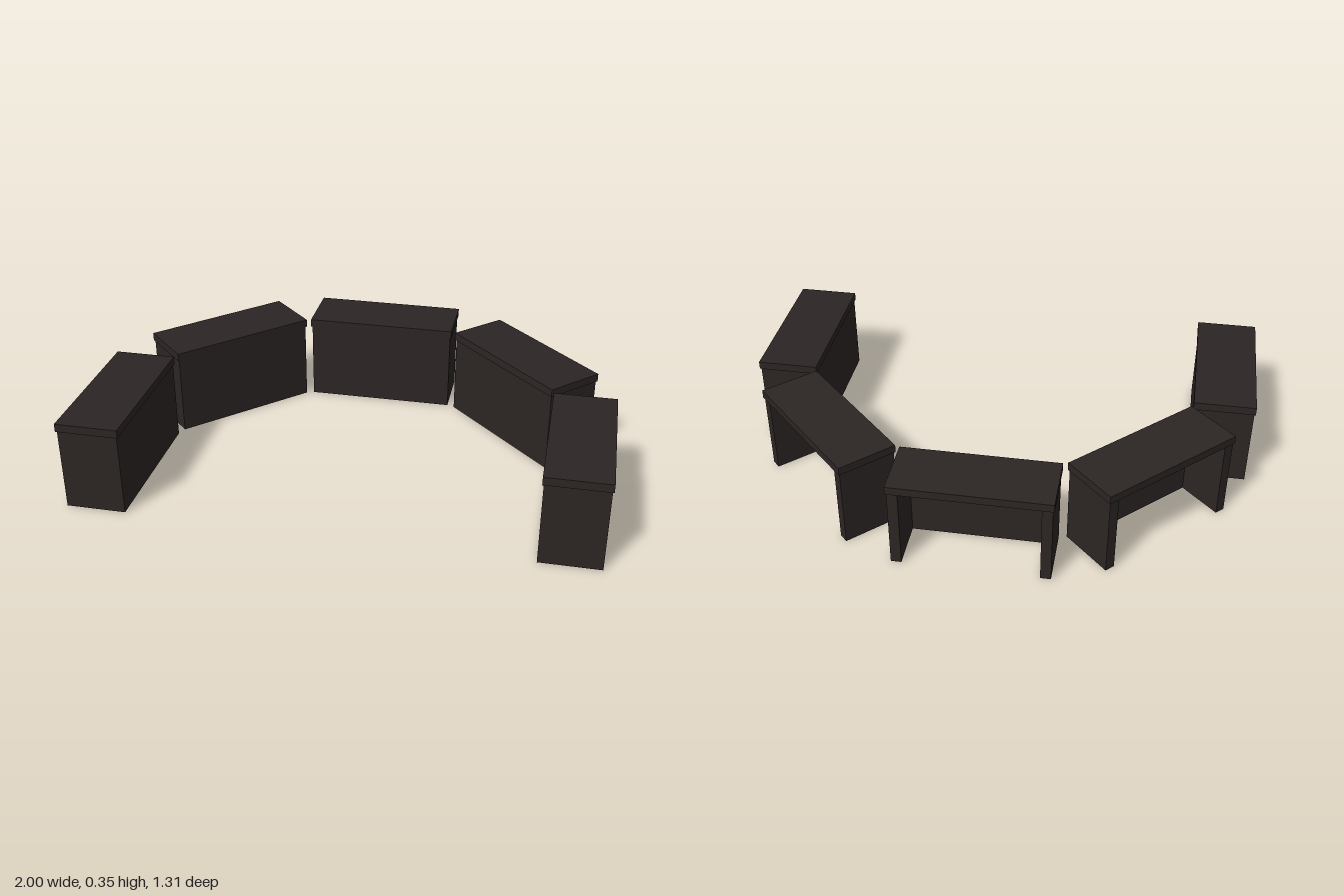
import * as THREE from 'three';

const LENGTH = 0.608, DEPTH = 0.24, HEIGHT = 0.355;
const TOP = 0.032, BOARD = 0.04, INSET = 0.005;

export function createModel() {
  const darkWood = new THREE.MeshStandardMaterial({ color: 0x2c2524 });

  const board = (parent, name, size, position) => {
    const mesh = new THREE.Mesh(new THREE.BoxGeometry(...size), darkWood);
    mesh.name = name;
    mesh.position.set(...position);
    parent.add(mesh);
  };

  // One desk: its closed panel faces local +z, its seating side is open at -z
  const createDesk = (name) => {
    const desk = new THREE.Group();
    desk.name = name;
    const legHeight = HEIGHT - TOP;
    const innerLength = LENGTH - 2 * INSET, innerDepth = DEPTH - 2 * INSET;
    board(desk, 'deskTop', [LENGTH, TOP, DEPTH], [0, HEIGHT - TOP / 2, 0]);
    board(desk, 'frontPanel', [innerLength, legHeight, BOARD],
      [0, legHeight / 2, innerDepth / 2 - BOARD / 2]);
    for (const side of [-1, 1]) {
      board(desk, side > 0 ? 'leftSidePanel' : 'rightSidePanel',
        [BOARD, legHeight, innerDepth - BOARD],
        [side * (innerLength - BOARD) / 2, legHeight / 2, -BOARD / 2]);
    }
    return desk;
  };

  // Five desks in a horseshoe, all panels turned to the middle
  const group = new THREE.Group();
  group.name = 'deskHorseshoe';
  const place = (name, x, z, angle) => {
    const desk = createDesk(name);
    desk.position.set(x, 0, z);
    desk.rotation.y = angle;
    group.add(desk);
  };
  place('middleDesk', 0, -0.534, 0);
  for (const side of [-1, 1]) {
    const label = side > 0 ? 'left' : 'right';
    place(label + 'CornerDesk', side * 0.621, -0.278, -side * Math.PI / 4);
    place(label + 'EndDesk', side * 0.88, 0.35, -side * Math.PI / 2);
  }
  return group;
}
